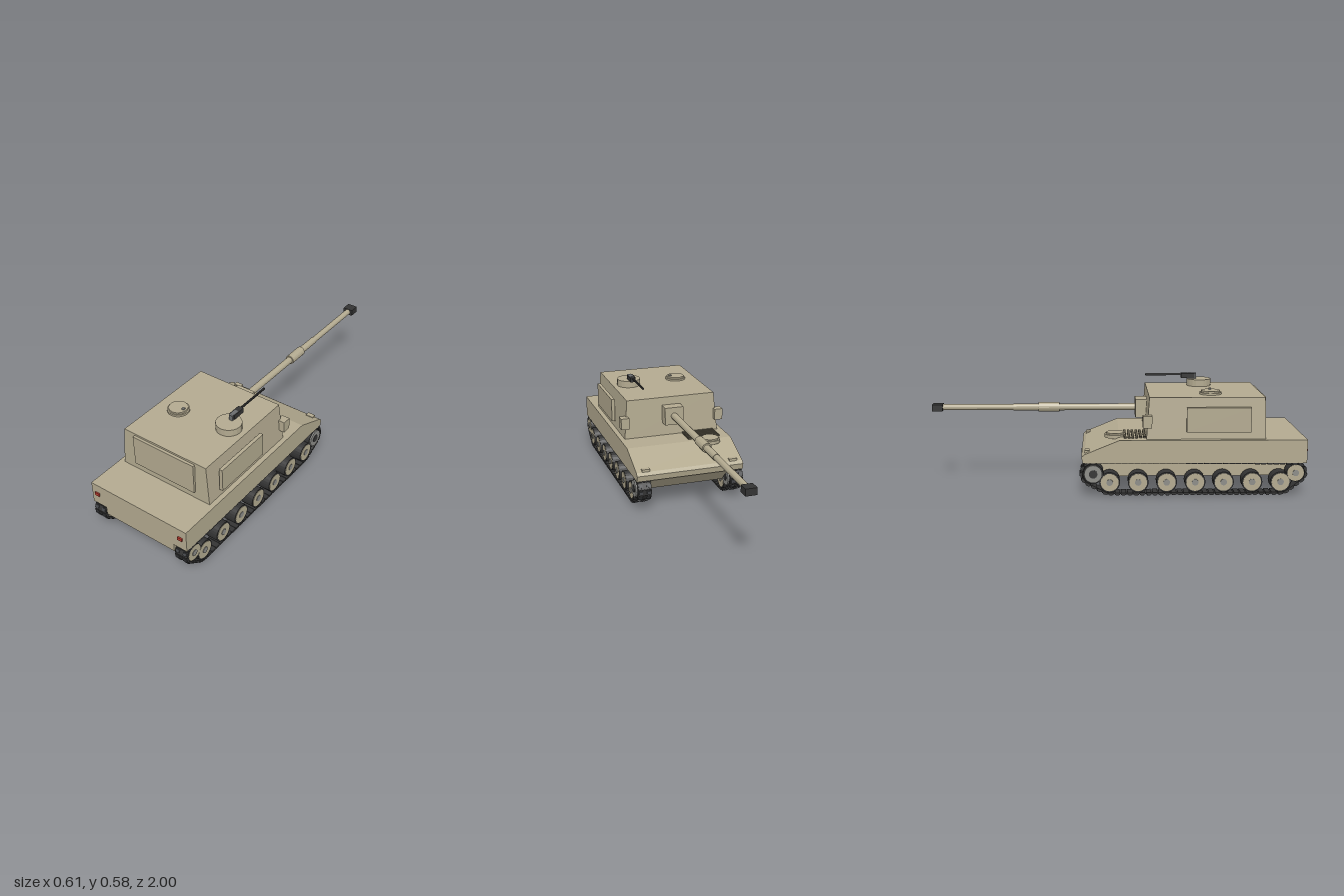
import * as THREE from 'three';
import { mergeGeometries } from 'three/addons/utils/BufferGeometryUtils.js';

const mat = (color) => new THREE.MeshStandardMaterial({ color, flatShading: true });

export function createModel() {
  const root = new THREE.Group();
  const tan = mat(0xb3aa90), dark = mat(0x343434), steel = mat(0x6a6c6e);
  const grey = mat(0x8c8c88), red = mat(0xb83a2e), slat = mat(0x5c5748);

  const add = (name, geo, m, x = 0, y = 0, z = 0, parent = root) => {
    const mesh = new THREE.Mesh(geo, m);
    mesh.name = name;
    mesh.position.set(x, y, z);
    parent.add(mesh);
    return mesh;
  };
  // Box given by its extents on each axis
  const box = (name, m, [x0, x1], [y0, y1], [z0, z1], parent) =>
    add(name, new THREE.BoxGeometry(x1 - x0, y1 - y0, z1 - z0), m,
      (x0 + x1) / 2, (y0 + y1) / 2, (z0 + z1) / 2, parent);
  const disc = (name, m, r, x, y0, y1, z, n = 24) =>
    add(name, new THREE.CylinderGeometry(r, r, y1 - y0, n), m, x, (y0 + y1) / 2, z);
  // Cylinder lying along z
  const rod = (name, m, r, x, y, z0, z1, n = 16) =>
    add(name, new THREE.CylinderGeometry(r, r, z1 - z0, n).rotateX(Math.PI / 2), m, x, y, (z0 + z1) / 2);
  // Side profile of (z, y) points extruded across x
  const slab = (name, pts, width) => {
    const shape = new THREE.Shape(pts.map(([z, y]) => new THREE.Vector2(z, y)));
    const geo = new THREE.ExtrudeGeometry(shape, { depth: width, bevelEnabled: false });
    add(name, geo.translate(0, 0, -width / 2).rotateY(-Math.PI / 2), tan);
  };

  // Hull: wide upper body and narrower tub between the tracks
  slab('upperHull', [[0.99, 0.175], [0.99, 0.297], [0.01, 0.297], [-0.17, 0.223],
    [-0.187, 0.208], [-0.18, 0.175]], 0.6);
  slab('lowerHull', [[0.988, 0.18], [0.988, 0.128], [0.93, 0.087], [-0.08, 0.087], [-0.178, 0.18]], 0.434);

  // Turret: a box tapered towards the roof
  const turretGeo = new THREE.BoxGeometry(2, 1, 1);
  const p = turretGeo.attributes.position;
  for (let i = 0; i < p.count; i++) {
    const top = p.getY(i) > 0, rear = p.getZ(i) > 0;
    p.setXYZ(i, p.getX(i) * (top ? 0.254 : 0.273), top ? 0.514 : 0.295,
      rear ? (top ? 0.77 : 0.776) : (top ? 0.167 : 0.152));
  }
  turretGeo.computeVertexNormals();
  add('turret', turretGeo, tan);
  box('rearTurretPanel', tan, [-0.188, 0.188], [0.335, 0.504], [0.765, 0.785]);

  // Gun
  box('mantlet', tan, [-0.053, 0.053], [0.37, 0.47], [0.102, 0.17]);
  rod('barrel', tan, 0.019, 0, 0.42, -0.56, 0.11);
  rod('barrelTip', tan, 0.0165, 0, 0.42, -0.95, -0.56);
  rod('boreEvacuator', tan, 0.026, 0, 0.42, -0.425, -0.31);
  box('muzzleBrake', dark, [-0.029, 0.029], [0.402, 0.438], [-1, -0.944]);

  // Commander's cupola with machine gun
  disc('cupola', tan, 0.067, 0.16, 0.513, 0.552, 0.465, 20);
  box('machineGunMount', steel, [0.15, 0.17], [0.55, 0.582], [0.4, 0.45]);
  box('machineGunBody', dark, [0.145, 0.176], [0.556, 0.582], [0.365, 0.44]);
  rod('machineGunBarrel', dark, 0.006, 0.16, 0.575, 0.165, 0.37, 8);

  // Roof hatch and driver's hatch
  disc('roofHatchRing', tan, 0.058, -0.135, 0.512, 0.524, 0.497);
  disc('roofHatchLid', tan, 0.05, -0.135, 0.524, 0.533, 0.497);
  box('roofHatchHandle', grey, [-0.11, -0.095], [0.53, 0.54], [0.49, 0.504]);
  disc('driverHatchRing', tan, 0.056, -0.17, 0.29, 0.308, -0.01);
  disc('driverHatchLid', tan, 0.047, -0.17, 0.308, 0.316, -0.01);

  // Engine grille slats
  for (let i = 0; i < 6; i++) {
    const z = 0.035 + i * 0.0205;
    box('grilleSlat', slat, [-0.245, -0.06], [0.295, 0.305], [z, z + 0.013]);
  }

  // Centreline of the track band: outline wrapped around four circles (z, y, r)
  const circles = [[-0.126, 0.118, 0.061], [0.933, 0.12, 0.052], [0.855, 0.072, 0.061], [-0.04, 0.072, 0.061]];
  const outline = [];
  for (let i = 0; i <= 96; i++) {
    const a = Math.PI / 2 - (i / 96) * Math.PI * 2, c = Math.cos(a), s = Math.sin(a);
    const reach = ([z, y, r]) => z * c + y * s + r;
    const best = circles.reduce((m, k) => (reach(k) > reach(m) ? k : m));
    outline.push(new THREE.Vector2(best[0] + best[2] * c, best[1] + best[2] * s));
  }
  const path = new THREE.Path(outline);
  path.closePath();

  const linkCount = 76, links = [], pads = [];
  for (let i = 0; i < linkCount; i++) {
    const pt = path.getPointAt(i / linkCount), t = path.getTangentAt(i / linkCount);
    const place = (g) => g.rotateX(Math.atan2(-t.y, t.x)).translate(0, pt.y, pt.x);
    links.push(place(new THREE.BoxGeometry(0.076, 0.011, 0.027)));
    links.push(place(new THREE.BoxGeometry(0.066, 0.006, 0.035)));
    for (const x of [-0.022, 0.022])
      pads.push(place(new THREE.BoxGeometry(0.021, 0.008, 0.016).translate(x, 0.0065, 0)));
  }
  const linkGeo = mergeGeometries(links), padGeo = mergeGeometries(pads);

  // Wheel lying along x: tyre, raised faces on both sides, hub
  const wheel = (name, parent, y, z, tyre, face, hub) => {
    const g = new THREE.Group();
    g.name = name;
    g.position.set(0, y, z);
    parent.add(g);
    const part = (n, [r, w, m]) =>
      add(n, new THREE.CylinderGeometry(r, r, w, 24).rotateZ(Math.PI / 2), m, 0, 0, 0, g);
    part('tyre', tyre);
    part('disc', face);
    part('hub', hub);
  };

  for (const s of [-1, 1]) {
    const side = s > 0 ? 'left' : 'right';
    const span = (a, b) => (s > 0 ? [a, b] : [-b, -a]);

    // Running gear
    const gear = new THREE.Group();
    gear.name = side + 'RunningGear';
    gear.position.x = s * 0.261;
    root.add(gear);
    add('trackLinks', linkGeo, dark, 0, 0, 0, gear);
    add('trackPads', padGeo, mat(0x45474a), 0, 0, 0, gear);
    for (let i = 0; i < 7; i++)
      wheel('roadWheel', gear, 0.072, -0.04 + i * 0.1492,
        [0.054, 0.07, dark], [0.047, 0.074, tan], [0.017, 0.08, grey]);
    wheel('driveSprocket', gear, 0.118, -0.126, [0.053, 0.07, dark], [0.047, 0.086, grey], [0.022, 0.09, dark]);
    wheel('idlerWheel', gear, 0.12, 0.933, [0.046, 0.07, dark], [0.044, 0.074, tan], [0.017, 0.08, grey]);

    // Turret side fittings
    box(side + 'TurretPanel', tan, span(0.273, 0.292), [0.337, 0.466], [0.36, 0.695]);
    box(side + 'CornerBox', tan, span(0.251, 0.297), [0.36, 0.423], [0.132, 0.18]);

    // Lights
    box(side + 'TailLight', red, span(0.25, 0.277), [0.232, 0.25], [0.985, 0.997]);
    box(side + 'HeadLight', tan, span(0.225, 0.268), [0.215, 0.237], [-0.17, -0.145]);
  }
  return root;
}
